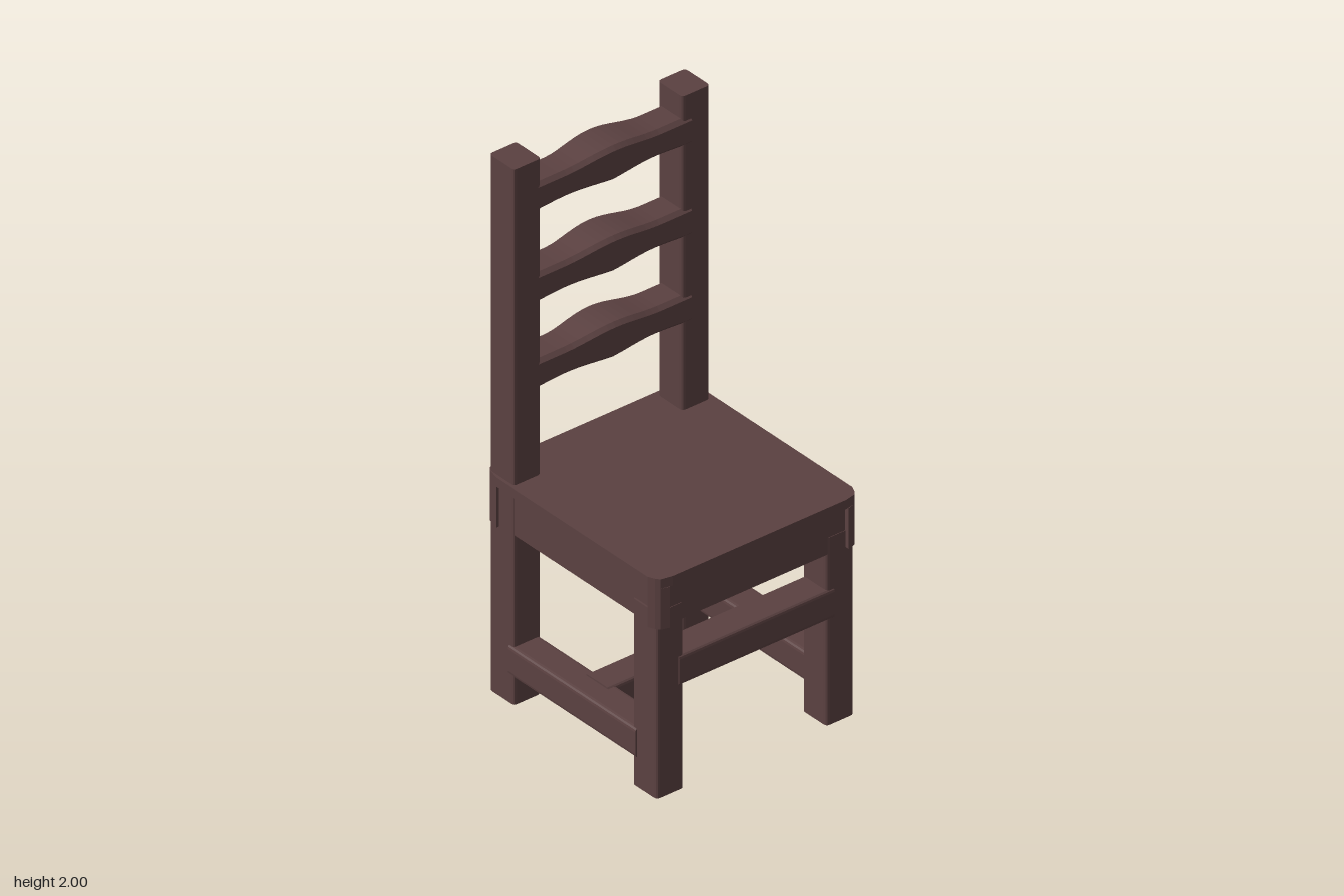
import * as THREE from 'three';

const wood = new THREE.MeshStandardMaterial({ color: 0x5b4141 });
wood.name = 'dark wood';

function add(group, name, geometry) {
  const mesh = new THREE.Mesh(geometry, wood);
  mesh.name = name;
  group.add(mesh);
  return mesh;
}

// Rounded rectangle outline
function roundedRect(a0, a1, b0, b1, r) {
  const s = new THREE.Shape();
  s.moveTo(a0 + r, b0);
  s.lineTo(a1 - r, b0).quadraticCurveTo(a1, b0, a1, b0 + r);
  s.lineTo(a1, b1 - r).quadraticCurveTo(a1, b1, a1 - r, b1);
  s.lineTo(a0 + r, b1).quadraticCurveTo(a0, b1, a0, b1 - r);
  s.lineTo(a0, b0 + r).quadraticCurveTo(a0, b0, a0 + r, b0);
  return s;
}

const extrude = (shape, depth) =>
  new THREE.ExtrudeGeometry(shape, { depth, bevelEnabled: false, curveSegments: 3 });

// Beam with rounded long edges, running along the given axis
function beam(axis, [x0, x1], [y0, y1], [z0, z1], r = 0.014) {
  if (axis === 'y') {
    return extrude(roundedRect(x0, x1, -z1, -z0, r), y1 - y0).rotateX(-Math.PI / 2).translate(0, y0, 0);
  }
  if (axis === 'x') {
    return extrude(roundedRect(-z1, -z0, y0, y1, r), x1 - x0).rotateY(Math.PI / 2).translate(x0, 0, 0);
  }
  return extrude(roundedRect(x0, x1, y0, y1, r), z1 - z0).translate(0, 0, z0);
}

// Flat slab from an outline of [x, z] points
function slab(points, y0, y1) {
  const shape = new THREE.Shape(points.map(([x, z]) => new THREE.Vector2(x, -z)));
  return extrude(shape, y1 - y0).rotateX(-Math.PI / 2).translate(0, y0, 0);
}

// Wavy back slat: swells forward, backward and upward in the middle
function slat(y0, y1) {
  const g = new THREE.BoxGeometry(1, 1, 1, 24, 1, 1).toNonIndexed();
  g.dispose();
  const half = 0.32, n = 24, ring = 8, pos = [], idx = [];
  for (let i = 0; i <= n; i++) {
    const x = -half + (2 * half * i) / n;
    const swell = 0.5 + 0.5 * Math.cos(Math.PI * Math.min(1, Math.abs(x) / 0.2));
    const front = -0.29 + 0.011 * swell, back = -0.413 - 0.013 * swell;
    const top = y1 + 0.022 * swell;
    const bottom = y0 + 0.008 * Math.sin(Math.PI * Math.min(1, Math.abs(x) / 0.3));
    const c = 0.014;
    for (const [z, y] of [
      [front, bottom + c], [front, top - c], [front - c, top], [back + c, top],
      [back, top - c], [back, bottom + c], [back + c, bottom], [front - c, bottom],
    ]) pos.push(x, y, z);
    if (i === n) break;
    for (let k = 0; k < ring; k++) {
      const a = i * ring + k, b = i * ring + ((k + 1) % ring);
      idx.push(a, a + ring, b, b, a + ring, b + ring);
    }
  }
  // End caps
  for (let k = 1; k < ring - 1; k++) {
    idx.push(0, k, k + 1);
    idx.push(n * ring, n * ring + k + 1, n * ring + k);
  }
  const indexed = new THREE.BufferGeometry();
  indexed.setAttribute('position', new THREE.Float32BufferAttribute(pos, 3));
  indexed.setIndex(idx);
  const flat = indexed.toNonIndexed();
  flat.computeVertexNormals();
  return flat;
}

export function createModel() {
  const chair = new THREE.Group();
  chair.name = 'chair';
  const leftX = [0.284, 0.396], rightX = [-0.404, -0.292];

  // Back posts run from floor to top; front legs stop under the seat
  add(chair, 'leftBackPost', beam('y', leftX, [0, 1.993], [-0.418, -0.295]));
  add(chair, 'rightBackPost', beam('y', rightX, [0.008, 2], [-0.415, -0.29]));
  add(chair, 'leftFrontLeg', beam('y', leftX, [0.003, 0.7], [0.298, 0.418]));
  add(chair, 'rightFrontLeg', beam('y', rightX, [0.008, 0.7], [0.298, 0.418]));

  // Seat board with clipped corners
  const corner = [[0.35, 0.433], [0.393, 0.424], [0.404, 0.41], [0.415, 0.385]];
  const flipX = ([x, z]) => [-x, z], flipZ = ([x, z]) => [x, -z];
  const backCorner = corner.map(flipZ);
  backCorner[3] = [0.415, -0.365];
  add(chair, 'seatBoard', slab([
    ...corner, ...backCorner.slice().reverse(),
    ...backCorner.map(flipX), ...corner.map(flipX).reverse(),
  ], 0.79, 0.825));

  // Recessed apron under the board, with a block at each corner
  add(chair, 'apron', new THREE.BoxGeometry(0.796, 0.155, 0.832).translate(0, 0.7155, 0));
  for (const sx of [1, -1]) {
    for (const [edge, inner] of [[corner, 0.385], [backCorner, -0.365]]) {
      const outline = [[0.362, edge[0][1]], ...edge.slice(1), [0.362, inner]];
      add(chair, 'seatCornerBlock', slab(outline.map(([x, z]) => [sx * x, z]), 0.638, 0.79));
    }
  }

  // Ladder back
  for (const [y0, y1] of [[1.803, 1.908], [1.463, 1.572], [1.143, 1.25]]) {
    add(chair, 'backSlat', slat(y0, y1));
  }

  // Front rail, side stretchers and the bar joining them
  add(chair, 'frontRail', beam('x', [-0.315, 0.315], [0.395, 0.507], [0.303, 0.422]));
  add(chair, 'leftStretcher', beam('z', [0.286, 0.403], [0.115, 0.224], [-0.315, 0.32]));
  add(chair, 'rightStretcher', beam('z', [-0.41, -0.294], [0.115, 0.224], [-0.315, 0.32]));
  add(chair, 'crossStretcher', beam('x', [-0.33, 0.33], [0.12, 0.23], [-0.025, 0.088]));

  return chair;
}
